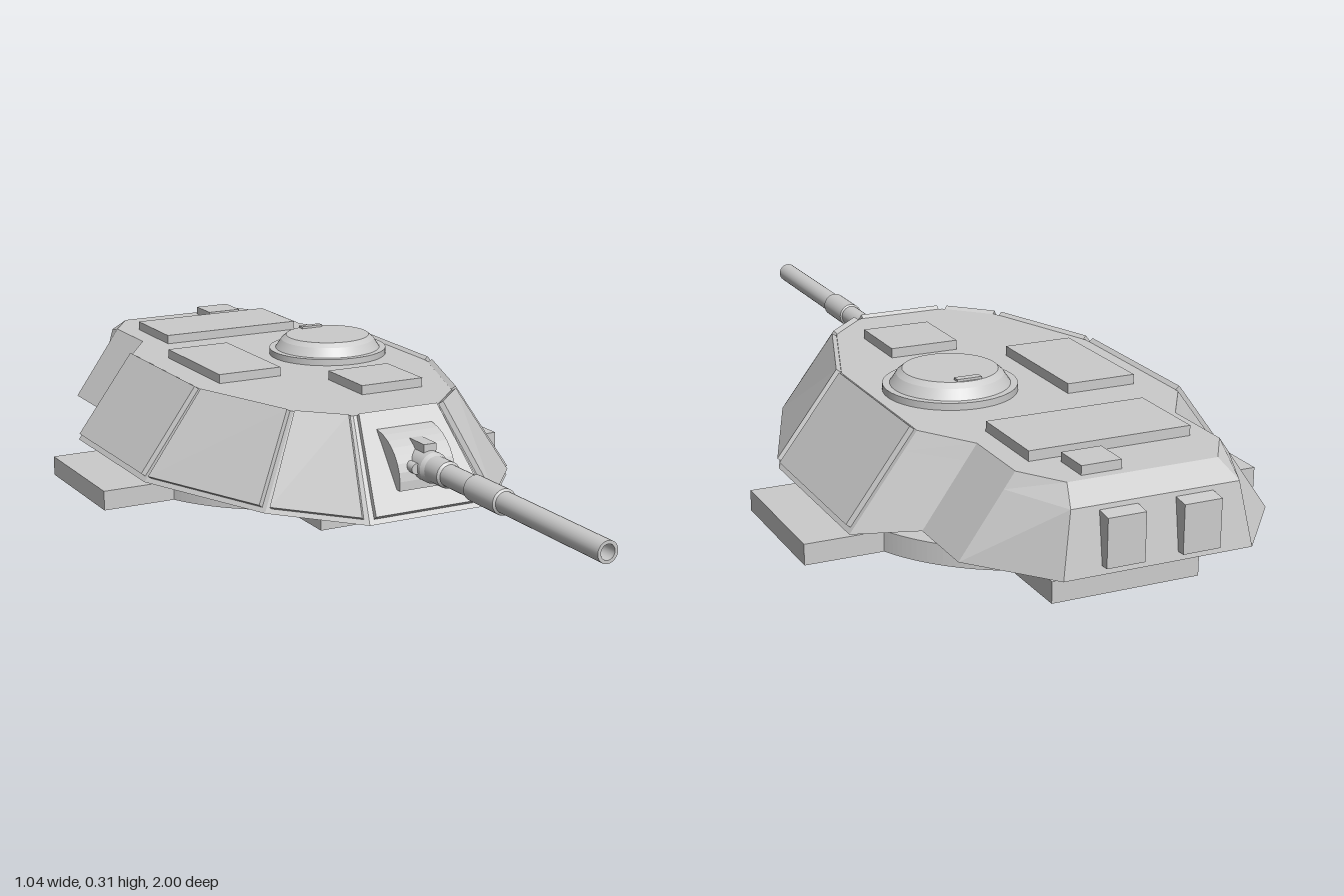
import * as THREE from 'three';

const flat = new THREE.MeshStandardMaterial({ color: 0xcccccc, flatShading: true });
const smooth = new THREE.MeshStandardMaterial({ color: 0xcccccc });

// Flat-faced geometry from quads, corners counter-clockwise seen from outside
function fromQuads(quads) {
  const pos = [];
  for (const [a, b, c, d] of quads) {
    for (const p of [a, b, c, a, c, d]) pos.push(p.x, p.y, p.z);
  }
  const geo = new THREE.BufferGeometry();
  geo.setAttribute('position', new THREE.Float32BufferAttribute(pos, 3));
  geo.computeVertexNormals();
  return geo;
}

// Half outlines [x, y, z] from front to back at the bottom, shoulder and roof
const BOTTOM = [[0.15, 0.067, 0.375], [0.305, 0.067, 0.195], [0.44, 0.067, -0.14], [0.44, 0.067, -0.545],
  [0.335, 0.1, -0.66], [0.335, 0.1, -0.825], [0.2, 0.1, -0.985]];
const ROOF = [[0.105, 0.262, 0.22], [0.2, 0.262, 0.125], [0.295, 0.262, -0.145], [0.295, 0.262, -0.545],
  [0.22, 0.262, -0.66], [0.22, 0.262, -0.825], [0.16, 0.262, -0.915]];
const SHOULDER = BOTTOM.map((b, i) => b.map((v, k) => v + (ROOF[i][k] - v) * 0.8));
SHOULDER[6] = [0.178, SHOULDER[6][1], -0.965];

// Full loop: left side front to back, then right side back to front
const loop = (half) => [
  ...half.map(([x, y, z]) => new THREE.Vector3(x, y, z)),
  ...half.slice().reverse().map(([x, y, z]) => new THREE.Vector3(-x, y, z)),
];

function hullGeometry() {
  const rings = [BOTTOM, SHOULDER, ROOF].map(loop);
  const n = rings[0].length;
  const quads = [];
  for (let r = 0; r < 2; r++) {
    for (let i = 0; i < n; i++) {
      const j = (i + 1) % n;
      quads.push([rings[r][i], rings[r][j], rings[r + 1][j], rings[r + 1][i]]);
    }
  }
  // Floor and roof as strips between mirrored points
  const [bot, , top] = rings;
  for (let i = 0; i < n / 2 - 1; i++) {
    quads.push([top[n - 1 - i], top[i], top[i + 1], top[n - 2 - i]]);
    quads.push([bot[n - 2 - i], bot[i + 1], bot[i], bot[n - 1 - i]]);
  }
  return fromQuads(quads);
}

// Raised armour plate on the wall between loop points i and j
function plateGeometry(bot, top, i, j, gap, thickness) {
  const u = gap / bot[i].distanceTo(bot[j]);
  const at = (s, t) => bot[i].clone().lerp(bot[j], s).lerp(top[i].clone().lerp(top[j], s), t);
  const inner = [at(u, 0.05), at(1 - u, 0.05), at(1 - u, 0.995), at(u, 0.995)];
  const normal = inner[1].clone().sub(inner[0]).cross(inner[3].clone().sub(inner[0])).normalize();
  const outer = inner.map((p) => p.clone().addScaledVector(normal, thickness));
  const quads = [outer];
  for (let k = 0; k < 4; k++) {
    const m = (k + 1) % 4;
    quads.push([inner[k], inner[m], outer[m], outer[k]]);
  }
  return fromQuads(quads);
}

export function createModel() {
  const model = new THREE.Group();
  model.name = 'tankTurret';

  const add = (name, geo, x = 0, y = 0, z = 0, mat = flat) => {
    const mesh = new THREE.Mesh(geo, mat);
    mesh.name = name;
    mesh.position.set(x, y, z);
    model.add(mesh);
    return mesh;
  };
  // Box given by its limits
  const box = (name, x0, x1, y0, y1, z0, z1) => add(name,
    new THREE.BoxGeometry(x1 - x0, y1 - y0, z1 - z0), (x0 + x1) / 2, (y0 + y1) / 2, (z0 + z1) / 2);
  const disc = (name, rTop, rBottom, y0, y1, x, z, sides = 48) => add(name,
    new THREE.CylinderGeometry(rTop, rBottom, y1 - y0, sides), x, (y0 + y1) / 2, z, smooth);

  // Mounting base: disc with four square arms, and the turret ring
  const axisZ = -0.345;
  const w = 0.16, r = 0.52, d = 0.385, a = Math.asin(w / d), c = Math.cos(a) * d;
  const cross = new THREE.Shape();
  for (let k = 0; k < 4; k++) {
    const turn = k * Math.PI / 2;
    const pt = (x, y) => [x * Math.cos(turn) - y * Math.sin(turn), x * Math.sin(turn) + y * Math.cos(turn)];
    if (k === 0) cross.moveTo(...pt(c, -w));
    cross.lineTo(...pt(r, -w));
    cross.lineTo(...pt(r, w));
    cross.lineTo(...pt(c, w));
    cross.absarc(0, 0, d, turn + a, turn + Math.PI / 2 - a, false);
  }
  const base = new THREE.ExtrudeGeometry(cross, { depth: 0.045, bevelEnabled: false, curveSegments: 12 });
  base.rotateX(-Math.PI / 2);
  add('mountingBase', base, 0, 0, axisZ, smooth);
  disc('turretRing', 0.325, 0.325, 0.04, 0.075, 0, axisZ);

  // Hull and its armour plates
  add('hull', hullGeometry());
  const bot = loop(BOTTOM), top = loop(ROOF), n = bot.length;
  add('frontPlate', plateGeometry(bot, top, n - 1, 0, 0.012, 0.012));
  for (let i = 0; i < 3; i++) {
    add('leftPlate', plateGeometry(bot, top, i, i + 1, 0.012, 0.012));
    add('rightPlate', plateGeometry(bot, top, n - 2 - i, n - 1 - i, 0.012, 0.012));
  }

  // Roof boxes
  box('sideRoofBox', -0.235, -0.08, 0.25, 0.283, -0.465, -0.175);
  box('rearRoofBox', -0.175, 0.175, 0.25, 0.283, -0.79, -0.605);
  box('frontRoofBox', 0, 0.155, 0.25, 0.283, -0.09, 0.07);
  box('smallRoofBox', 0.035, 0.12, 0.25, 0.281, -0.895, -0.815);

  // Rear stowage boxes with sloped tops
  for (const side of [-1, 1]) {
    const geo = new THREE.BoxGeometry(0.08, 0.108, 0.07);
    const p = geo.attributes.position;
    for (let i = 0; i < p.count; i++) {
      if (p.getY(i) > 0 && p.getZ(i) < 0) p.setY(i, 0.045);
    }
    geo.computeVertexNormals();
    add('rearBox', geo, side * 0.08, 0.171, -0.965);
  }

  // Commander's cupola
  const cx = 0.128, cz = -0.335;
  disc('cupolaBase', 0.141, 0.141, 0.255, 0.277, cx, cz);
  disc('cupolaRim', 0.112, 0.126, 0.277, 0.298, cx, cz);
  disc('cupolaHatch', 0.1, 0.112, 0.298, 0.308, cx, cz);
  box('hatchHandle', 0.1, 0.155, 0.3, 0.313, -0.43, -0.413);

  // Mantlet: curved profile in z and y, extruded across
  const profile = new THREE.Shape();
  profile.moveTo(0.2, 0.125);
  profile.lineTo(0.358, 0.125);
  profile.bezierCurveTo(0.362, 0.18, 0.325, 0.225, 0.262, 0.236);
  profile.lineTo(0.2, 0.236);
  const mantlet = new THREE.ExtrudeGeometry(profile, { depth: 0.136, bevelEnabled: false, curveSegments: 8 });
  mantlet.rotateY(-Math.PI / 2);
  add('mantlet', mantlet, 0.068, 0, 0);
  const sight = box('gunSight', -0.015, 0.015, 0.198, 0.222, 0.29, 0.365);
  sight.name = 'gunSight';

  // Gun barrel with collar, sleeve and hollow muzzle; profile as radius, z
  const gunY = 0.173;
  const barrelProfile = [[0.034, 0.3], [0.034, 0.38], [0.029, 0.39], [0.029, 0.44], [0.024, 0.445], [0.024, 0.54],
    [0.028, 0.543], [0.028, 0.652], [0.023, 0.655], [0.023, 1], [0.016, 1], [0.016, 0.9], [0, 0.9]];
  const barrelPoints = [];
  barrelProfile.forEach(([x, y], i) => {
    // Doubled points keep the steps sharp
    barrelPoints.push(new THREE.Vector2(x, y));
    if (i > 0 && i < barrelProfile.length - 1) barrelPoints.push(new THREE.Vector2(x, y + 1e-5));
  });
  const barrel = new THREE.LatheGeometry(barrelPoints, 28);
  barrel.rotateX(Math.PI / 2);
  add('gunBarrel', barrel, 0, gunY, 0, smooth).material = new THREE.MeshStandardMaterial({
    color: 0xcccccc, side: THREE.DoubleSide });

  // Trunnion knobs beside the barrel
  for (const side of [-1, 1]) {
    const knob = new THREE.CylinderGeometry(0.012, 0.012, 0.07, 16);
    knob.rotateX(Math.PI / 2);
    add('mantletKnob', knob, side * 0.035, gunY, 0.335, smooth);
  }

  return model;
}
